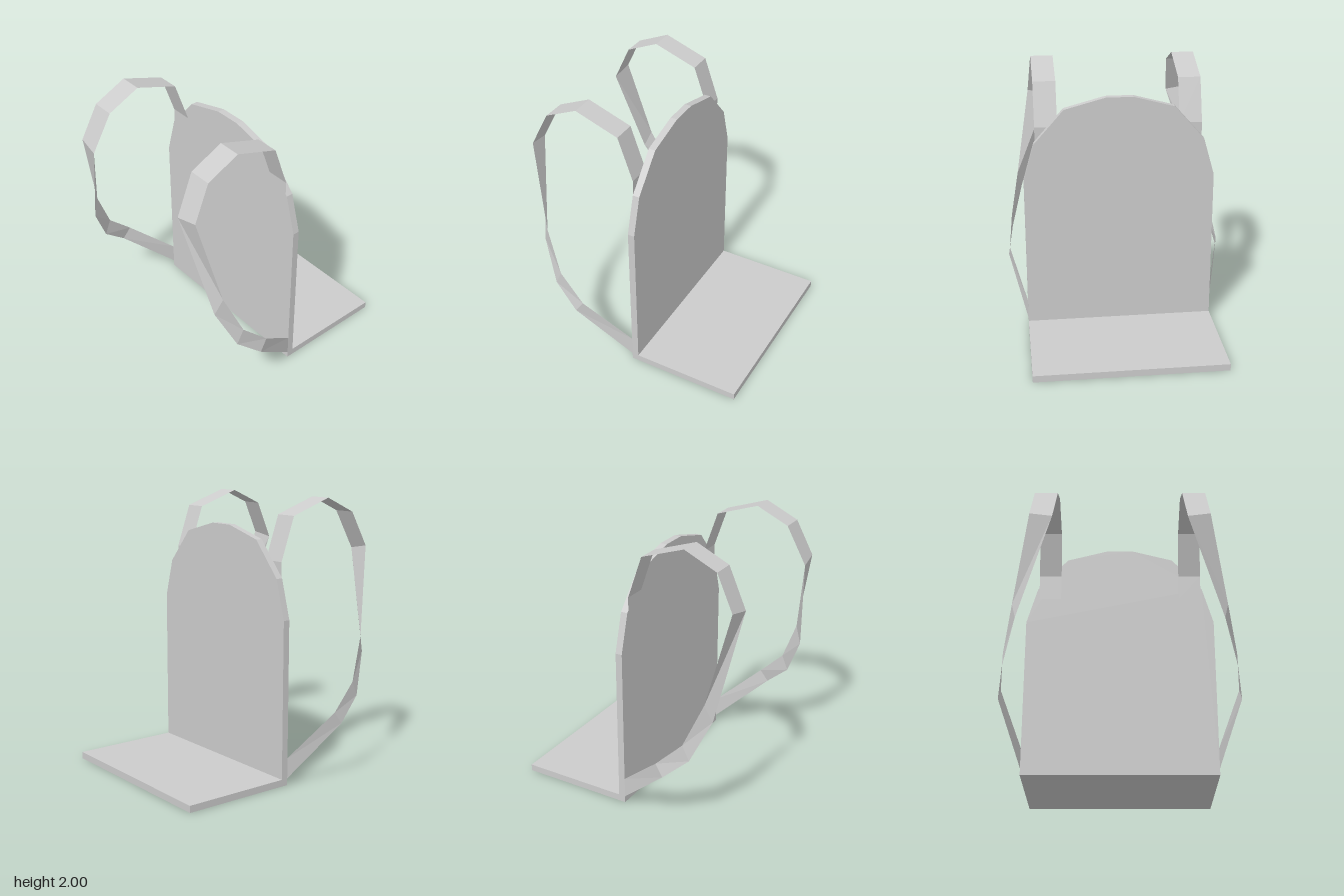
import * as THREE from 'three';

const material = new THREE.MeshStandardMaterial({ color: 0xcccccc, flatShading: true });
const strapMaterial = new THREE.MeshStandardMaterial({ color: 0xcccccc, flatShading: true, side: THREE.DoubleSide });

function addMesh(parent, name, geometry, mat = material) {
  const mesh = new THREE.Mesh(geometry, mat);
  mesh.name = name;
  parent.add(mesh);
  return mesh;
}

// Flat ribbon through pairs of [inner edge, outer edge] points
function ribbon(sections, side) {
  const positions = [];
  const indices = [];
  sections.forEach((pair, i) => {
    for (const [x, y, z] of pair) positions.push(x * side, y, z);
    if (i === 0) return;
    const a = 2 * i - 2;
    if (side > 0) indices.push(a, a + 1, a + 3, a, a + 3, a + 2);
    else indices.push(a, a + 3, a + 1, a, a + 2, a + 3);
  });
  const geometry = new THREE.BufferGeometry();
  geometry.setAttribute('position', new THREE.Float32BufferAttribute(positions, 3));
  geometry.setIndex(indices);
  const flat = geometry.toNonIndexed();
  flat.computeVertexNormals();
  return flat;
}

export function createModel() {
  const model = new THREE.Group();
  model.name = 'backpackFrame';

  // Upright back panel with a faceted arched top
  const half = [[0.7, 0], [0.7, 1.19], [0.62, 1.47], [0.4, 1.72], [0.1, 1.8]];
  const outline = [...half, ...half.slice().reverse().map(([x, y]) => [-x, y])];
  const shape = new THREE.Shape(outline.map(([x, y]) => new THREE.Vector2(x, y)));
  const panel = new THREE.ExtrudeGeometry(shape, { depth: 0.05, bevelEnabled: false });
  addMesh(model, 'backPanel', panel).position.z = -0.03;

  // Shelf behind the panel
  const shelf = new THREE.BoxGeometry(1.4, 0.05, 0.8);
  addMesh(model, 'shelf', shelf).position.set(0, 0.025, -0.43);

  // Shoulder straps: straight over the shoulder, then twisting to the lower corner
  const level = (y, z) => [[0.445, y, z], [0.61, y, z]];
  const sections = [
    level(1.385, 0.023),
    level(1.58, 0.022),
    level(1.89, 0.13),
    level(2.0, 0.45),
    level(1.89, 0.69),
    [[0.47, 1.61, 0.83], [0.63, 1.64, 0.815]],
    [[0.705, 0.875, 0.73], [0.735, 1.0, 0.68]],
    [[0.79, 0.58, 0.6], [0.795, 0.69, 0.55]],
    [[0.83, 0.415, 0.415], [0.82, 0.5, 0.355]],
    [[0.7, 0.05, 0.02], [0.7, 0.2, 0.02]],
  ];
  addMesh(model, 'leftStrap', ribbon(sections, 1), strapMaterial);
  addMesh(model, 'rightStrap', ribbon(sections, -1), strapMaterial);

  return model;
}
